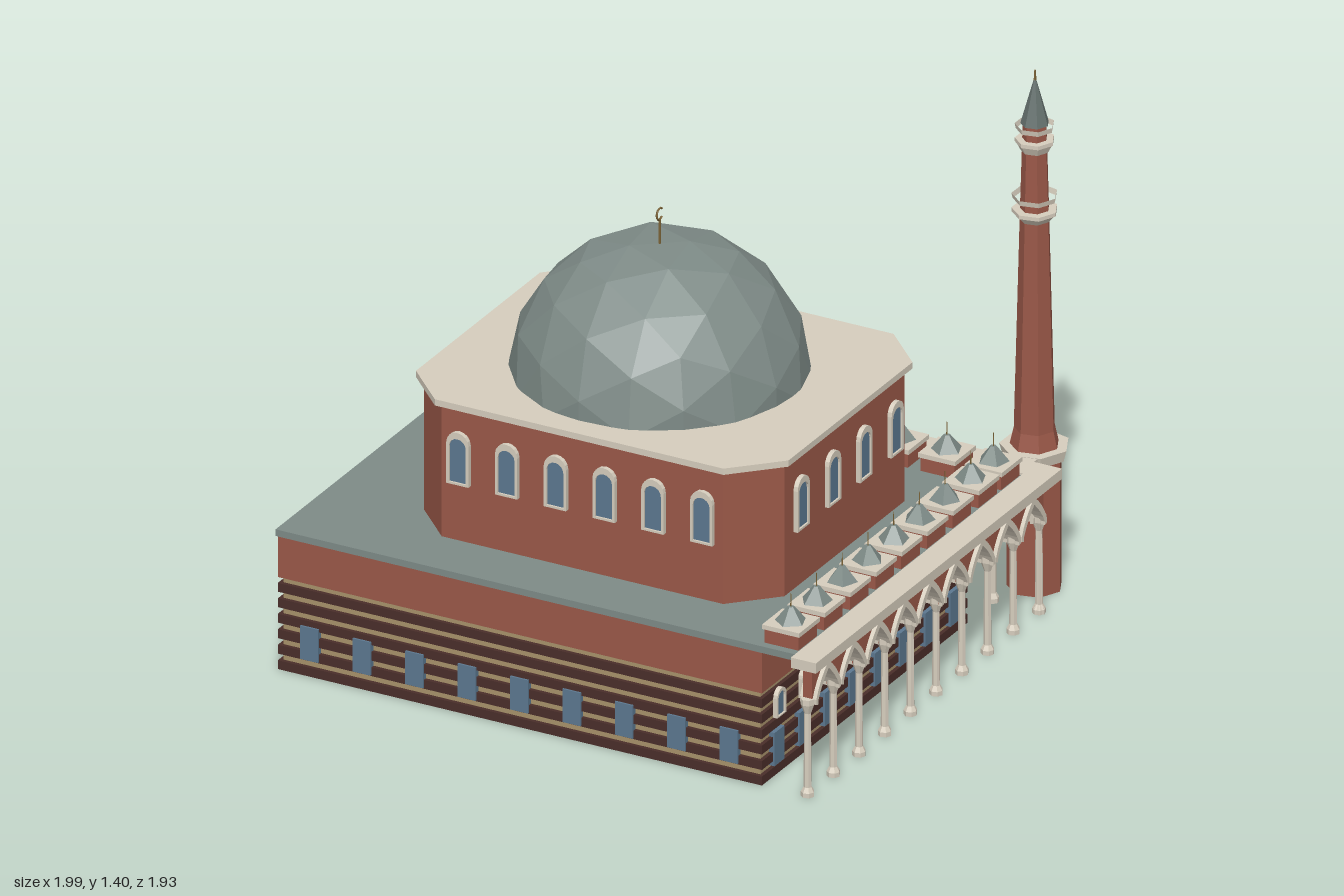
import * as THREE from 'three';

const mat = (color, side = THREE.FrontSide) => new THREE.MeshStandardMaterial({ color, flatShading: true, side });
const BRICK = mat(0x9a5848), CREAM = mat(0xd6cdbd), LEAD = mat(0x7e8b87), WOOD = mat(0x4a2e2a);
const TAN = mat(0xa8926a), GLASS = mat(0x5c7890), GOLD = mat(0x7a6236), SPIRE = mat(0x66726f);
const RAIL = mat(0xd6cdbd, THREE.DoubleSide);
const STEP = 0.13; // arcade bay

function add(parent, name, geo, material, x = 0, y = 0, z = 0) {
  const m = new THREE.Mesh(geo, material);
  m.name = name;
  m.position.set(x, y, z);
  parent.add(m);
  return m;
}

// Box given by its limits along u, y and v (v runs towards local -z)
function block(parent, name, material, u0, u1, y0, y1, v0, v1) {
  return add(parent, name, new THREE.BoxGeometry(u1 - u0, y1 - y0, v1 - v0), material,
    (u0 + u1) / 2, (y0 + y1) / 2, -(v0 + v1) / 2);
}

function section(parent, name, material, rTop, rBottom, y0, y1, sides = 7) {
  return add(parent, name, new THREE.CylinderGeometry(rTop, rBottom, y1 - y0, sides), material, 0, (y0 + y1) / 2, 0);
}

// Round-headed outline standing on the given y
function archOutline(target, w, h, y = 0) {
  const r = w / 2;
  target.moveTo(-r, y);
  target.lineTo(r, y);
  target.lineTo(r, y + h - r);
  target.absarc(0, y + h - r, r, 0, Math.PI, false);
  target.lineTo(-r, y);
  return target;
}

const extrude = (shape, depth) => new THREE.ExtrudeGeometry(shape, { depth, bevelEnabled: false, curveSegments: 4 });

function windowGeometries(w, h) {
  const frame = archOutline(new THREE.Shape(), w, h);
  frame.holes.push(archOutline(new THREE.Path(), w * 0.76, h * 0.84, h * 0.04));
  return { frame: extrude(frame, 0.012), pane: extrude(archOutline(new THREE.Shape(), w * 0.78, h * 0.9), 0.007) };
}

// Group whose +z looks out of a wall
function facing(parent, name, u, v, turn) {
  const g = new THREE.Group();
  g.name = name;
  g.position.set(u, 0, -v);
  g.rotation.y = turn;
  parent.add(g);
  return g;
}

function windowRow(wall, kind, first, last, count, y) {
  for (let i = 0; i < count; i++) {
    const x = first + (last - first) * i / (count - 1);
    add(wall, 'windowPane', kind.pane, GLASS, x, y, 0);
    if (kind.frame) add(wall, 'windowFrame', kind.frame, CREAM, x, y, 0);
  }
}

// Octagonal plan with cut corners
function octagon(u0, u1, v0, v1, c, y0, y1) {
  const pts = [[u0 + c, v0], [u1 - c, v0], [u1, v0 + c], [u1, v1 - c], [u1 - c, v1], [u0 + c, v1], [u0, v1 - c], [u0, v0 + c]];
  const geo = extrude(new THREE.Shape(pts.map(p => new THREE.Vector2(...p))), y1 - y0);
  return geo.rotateX(-Math.PI / 2).translate(0, y0, 0);
}

// Points of a pointed arch from left springing to right
function pointedArch(w, spring, top) {
  const path = new THREE.Path();
  path.moveTo(-w, 0.25);
  path.lineTo(-w, spring);
  path.quadraticCurveTo(-w * 0.72, top - 0.035, 0, top);
  path.quadraticCurveTo(w * 0.72, top - 0.035, w, spring);
  path.lineTo(w, 0.25);
  return path.getPoints(4);
}

// Row of pointed arches on slim columns, starting at x = 0
function arcade(parent, name, u, v, turn, bays) {
  const row = facing(parent, name, u, v, turn);
  const half = STEP / 2, corner = (x, y) => new THREE.Vector2(x, y);
  const inner = pointedArch(half - 0.012, 0.26, 0.328);
  const outer = pointedArch(half - 0.002, 0.264, 0.345);
  const spandrel = new THREE.Shape([corner(-half, 0.362), corner(-half, 0.25), ...inner, corner(half, 0.25), corner(half, 0.362)]);
  const spandrelGeo = extrude(spandrel, 0.025).translate(0, 0, -0.0125);
  const band = new THREE.Shape([...outer, ...inner.map(p => corner(p.x, p.y - 0.003)).reverse()]);
  const bandGeo = extrude(band, 0.046).translate(0, 0, -0.023);
  const column = new THREE.LatheGeometry([[0, 0], [0.017, 0], [0.017, 0.012], [0.01, 0.025], [0.009, 0.225],
    [0.018, 0.25], [0.018, 0.265], [0, 0.265]].map(p => corner(...p)), 7);
  for (let i = 0; i <= bays; i++) {
    add(row, 'column', column, CREAM, i * STEP, 0, 0);
    if (i === bays) break;
    add(row, 'spandrel', spandrelGeo, BRICK, (i + 0.5) * STEP, 0, 0);
    add(row, 'archBand', bandGeo, CREAM, (i + 0.5) * STEP, 0, 0);
  }
}

// Small faceted lead cap on a square base
const CAP = new THREE.CylinderGeometry(0.008, 0.04, 0.04, 5);
function smallDome(parent, u, v, turn) {
  const g = new THREE.Group();
  g.name = 'arcadeDome';
  g.position.set(u, 0, -v);
  parent.add(g);
  add(g, 'domeBase', new THREE.BoxGeometry(0.094, 0.04, 0.094), BRICK, 0, 0.398, 0);
  add(g, 'domeCornice', new THREE.BoxGeometry(0.104, 0.012, 0.104), CREAM, 0, 0.424, 0);
  add(g, 'cap', CAP, LEAD, 0, 0.45, 0).rotation.y = turn;
  section(g, 'capFinial', GOLD, 0.001, 0.002, 0.468, 0.505, 4);
}

function minaret(parent) {
  const g = new THREE.Group();
  g.name = 'minaret';
  g.position.set(0.905, 0, -0.168);
  parent.add(g);
  section(g, 'minaretBase', BRICK, 0.07, 0.07, 0, 0.36);
  section(g, 'baseCornice', CREAM, 0.088, 0.08, 0.355, 0.385);
  section(g, 'baseTaper', BRICK, 0.052, 0.062, 0.385, 0.43);
  section(g, 'shaft', BRICK, 0.037, 0.052, 0.43, 1.02);
  section(g, 'upperShaft', BRICK, 0.03, 0.037, 1.02, 1.26);
  for (const [y, r] of [[1.015, 0.058], [1.205, 0.05]]) {
    section(g, 'balconyCorbel', CREAM, r * 0.95, 0.036, y - 0.022, y);
    section(g, 'balconyFloor', CREAM, r, r, y, y + 0.01);
    add(g, 'balconyRail', new THREE.CylinderGeometry(r, r * 0.94, 0.014, 7, 1, true), RAIL, 0, y + 0.042, 0);
  }
  section(g, 'spire', SPIRE, 0.003, 0.036, 1.255, 1.375);
  section(g, 'spireFinial', GOLD, 0.002, 0.004, 1.37, 1.4, 5);
}

export function createModel() {
  const root = new THREE.Group();
  root.name = 'domedHall';
  const hall = new THREE.Group();
  hall.name = 'hall';
  hall.position.set(-0.995, 0, 0);
  hall.rotation.y = -THREE.MathUtils.degToRad(38);
  root.add(hall);

  // Lower storey: banded walls, brick fascia, roof and cornice
  const U = 1.35, V = 1.04;
  block(hall, 'wallCore', TAN, 0.01, U - 0.01, 0.002, 0.25, 0.01, V - 0.01);
  for (let i = 0; i < 6; i++) block(hall, 'wallBand', WOOD, 0, U, i * 0.042, i * 0.042 + 0.024, 0, V);
  block(hall, 'fascia', BRICK, 0, U, 0.25, 0.362, 0, V);
  block(hall, 'roof', LEAD, -0.004, 1.49, 0.362, 0.38, -0.004, 1.19);
  block(hall, 'frontCornice', CREAM, 1.45, 1.52, 0.358, 0.386, -0.035, 1.21);
  block(hall, 'rearCornice', CREAM, -0.02, 1.45, 0.358, 0.386, 1.14, 1.21);
  block(hall, 'minaretLink', CREAM, 1.36, 1.44, 0.36, 0.384, 1.2, 1.25);

  // Lower windows, two rows beneath the arcades
  const pane = { pane: new THREE.BoxGeometry(0.05, 0.09, 0.02).translate(0, 0.045, -0.005) };
  const small = windowGeometries(0.046, 0.075);
  windowRow(facing(hall, 'sideWindows', 0, 0, 0), pane, 0.09, 1.26, 9, 0.045);
  windowRow(facing(hall, 'endWindows', 0, 0, -Math.PI / 2), pane, -0.95, -0.09, 7, 0.045);
  const frontWall = facing(hall, 'frontWindows', U, 0, Math.PI / 2);
  const rearWall = facing(hall, 'rearWindows', U, V, Math.PI);
  for (const [wall, end, n] of [[frontWall, 0.97, 8], [rearWall, 1.27, 10]]) {
    windowRow(wall, pane, 0.08, end, n, 0.03);
    windowRow(wall, small, 0.08, end, n, 0.16);
  }

  // Arcades and their roof domes
  arcade(hall, 'frontArcade', 1.475, 0.005, Math.PI / 2, 9);
  arcade(hall, 'rearArcade', 1.475, 1.175, Math.PI, 11);
  for (let i = 0; i < 11; i++) smallDome(hall, 0.095 + i * STEP, 1.09, i * 0.7);
  for (let i = 0; i < 8; i++) smallDome(hall, 1.395, 0.065 + i * STEP, i * 0.9);

  // Upper octagonal storey
  add(hall, 'upperWalls', octagon(0.26, 1.265, 0.158, 0.985, 0.11, 0.37, 0.742), BRICK);
  add(hall, 'upperCornice', octagon(0.243, 1.282, 0.141, 1.002, 0.117, 0.74, 0.757), CREAM);
  const tall = windowGeometries(0.062, 0.142);
  windowRow(facing(hall, 'upperSideWindows', 0, 0.158, 0), tall, 0.42, 1.1, 6, 0.535);
  windowRow(facing(hall, 'upperRearWindows', 0, 0.985, Math.PI), tall, -1.1, -0.42, 6, 0.535);
  windowRow(facing(hall, 'upperFrontWindows', 1.265, 0, Math.PI / 2), tall, 0.345, 0.82, 4, 0.535);
  windowRow(facing(hall, 'upperEndWindows', 0.26, 0, -Math.PI / 2), tall, -0.82, -0.345, 4, 0.535);

  // Faceted main dome, flattened underneath
  const domeGeo = new THREE.IcosahedronGeometry(0.375, 2);
  const p = domeGeo.attributes.position;
  for (let i = 0; i < p.count; i++) p.setY(i, THREE.MathUtils.clamp(p.getY(i), 0, 0.356));
  domeGeo.computeVertexNormals();
  add(root, 'mainDome', domeGeo, LEAD, -0.052, 0.732, 0.01);

  // Crescent finial
  add(root, 'finialPole', new THREE.CylinderGeometry(0.003, 0.004, 0.08, 5), GOLD, -0.052, 1.115, 0.01);
  const crescent = add(root, 'crescent', new THREE.TorusGeometry(0.015, 0.003, 4, 10, Math.PI * 1.5), GOLD, -0.052, 1.168, 0.01);
  crescent.rotation.set(0, 0.9, Math.PI / 4);

  minaret(root);
  return root;
}
